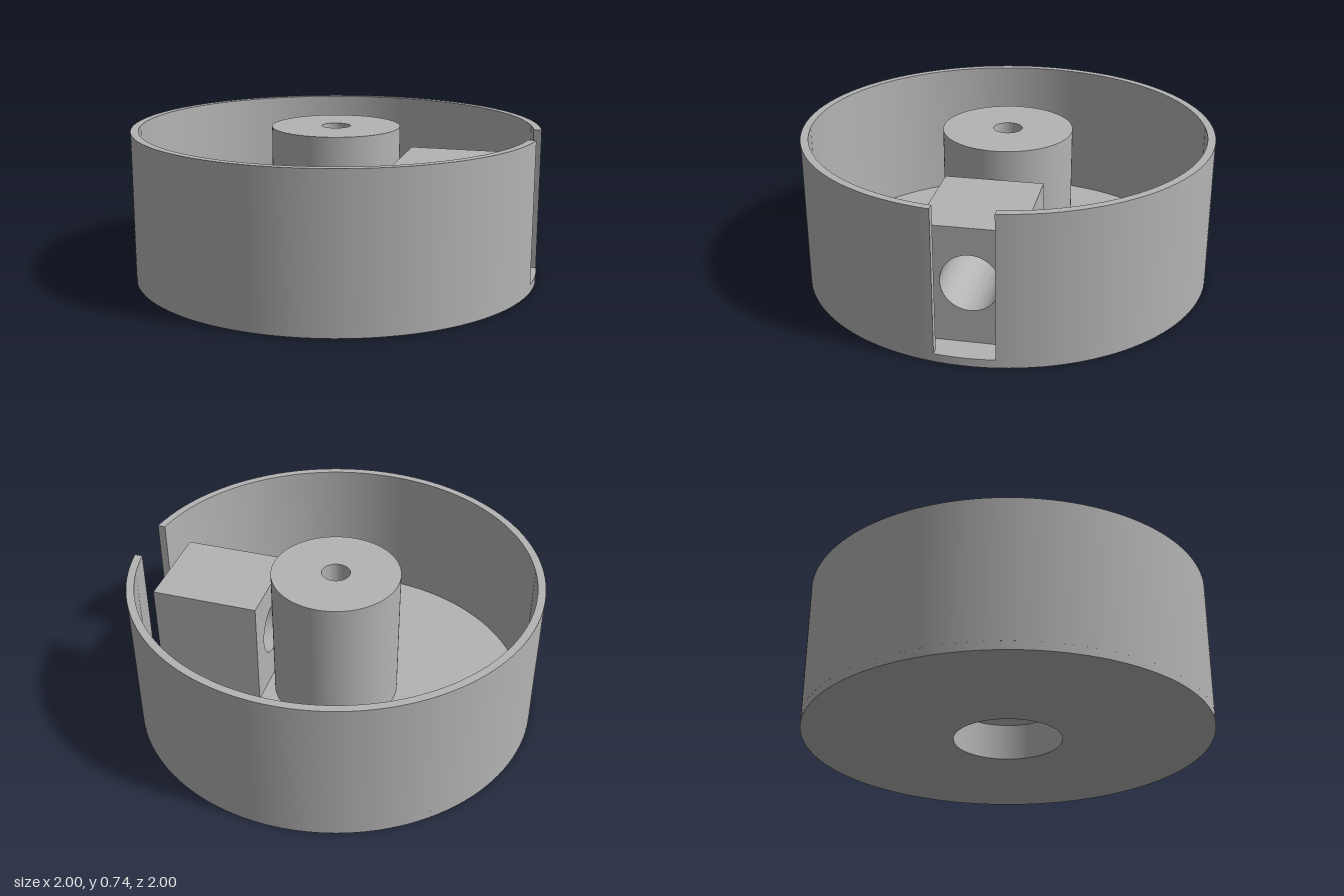
import * as THREE from 'three';
import { toCreasedNormals } from 'three/addons/utils/BufferGeometryUtils.js';

const HEIGHT = 0.735, FLOOR = 0.04, OUTER = 1, INNER = 0.962, SLOT = 0.138;

export function createModel() {
  const group = new THREE.Group();
  const grey = new THREE.MeshStandardMaterial({ color: 0xb4b4b4 });
  grey.name = 'plain grey';

  const add = (name, geometry) => {
    const mesh = new THREE.Mesh(toCreasedNormals(geometry, 0.5), grey);
    mesh.name = name;
    group.add(mesh);
    return mesh;
  };

  // Floor disc and central hub, with a wide bore below tapering to a narrow hole
  const profile = [
    [OUTER, 0], [OUTER, FLOOR], [0.315, FLOOR], [0.315, HEIGHT], [0.07, HEIGHT],
    [0.07, 0.38], [0.266, 0.184], [0.266, 0], [OUTER, 0],
  ].map(([r, y]) => new THREE.Vector2(r, y));
  add('floorAndHub', new THREE.LatheGeometry(profile, 128));

  // Thin round wall, open at a parallel-sided slot on +x
  const outerAngle = Math.asin(SLOT / OUTER), innerAngle = Math.asin(SLOT / INNER);
  const ring = new THREE.Shape();
  ring.absarc(0, 0, OUTER, outerAngle, Math.PI * 2 - outerAngle, false);
  ring.absarc(0, 0, INNER, Math.PI * 2 - innerAngle, innerAngle, true);
  ring.closePath();
  const wall = new THREE.ExtrudeGeometry(ring, { depth: HEIGHT - FLOOR, bevelEnabled: false, curveSegments: 128 });
  wall.rotateX(-Math.PI / 2).translate(0, FLOOR, 0);
  add('slottedWall', wall);

  // Block between hub and slot, with a round hole through it along x
  const face = new THREE.Shape();
  face.moveTo(-0.233, FLOOR).lineTo(0.233, FLOOR).lineTo(0.233, 0.6).lineTo(-0.233, 0.6).closePath();
  const hole = new THREE.Path();
  hole.absarc(0, 0.335, 0.135, 0, Math.PI * 2, true);
  face.holes.push(hole);
  const block = new THREE.ExtrudeGeometry(face, { depth: 0.53, bevelEnabled: false, curveSegments: 48 });
  block.rotateY(Math.PI / 2).translate(0.335, 0, 0);
  add('drilledBlock', block);

  return group;
}
